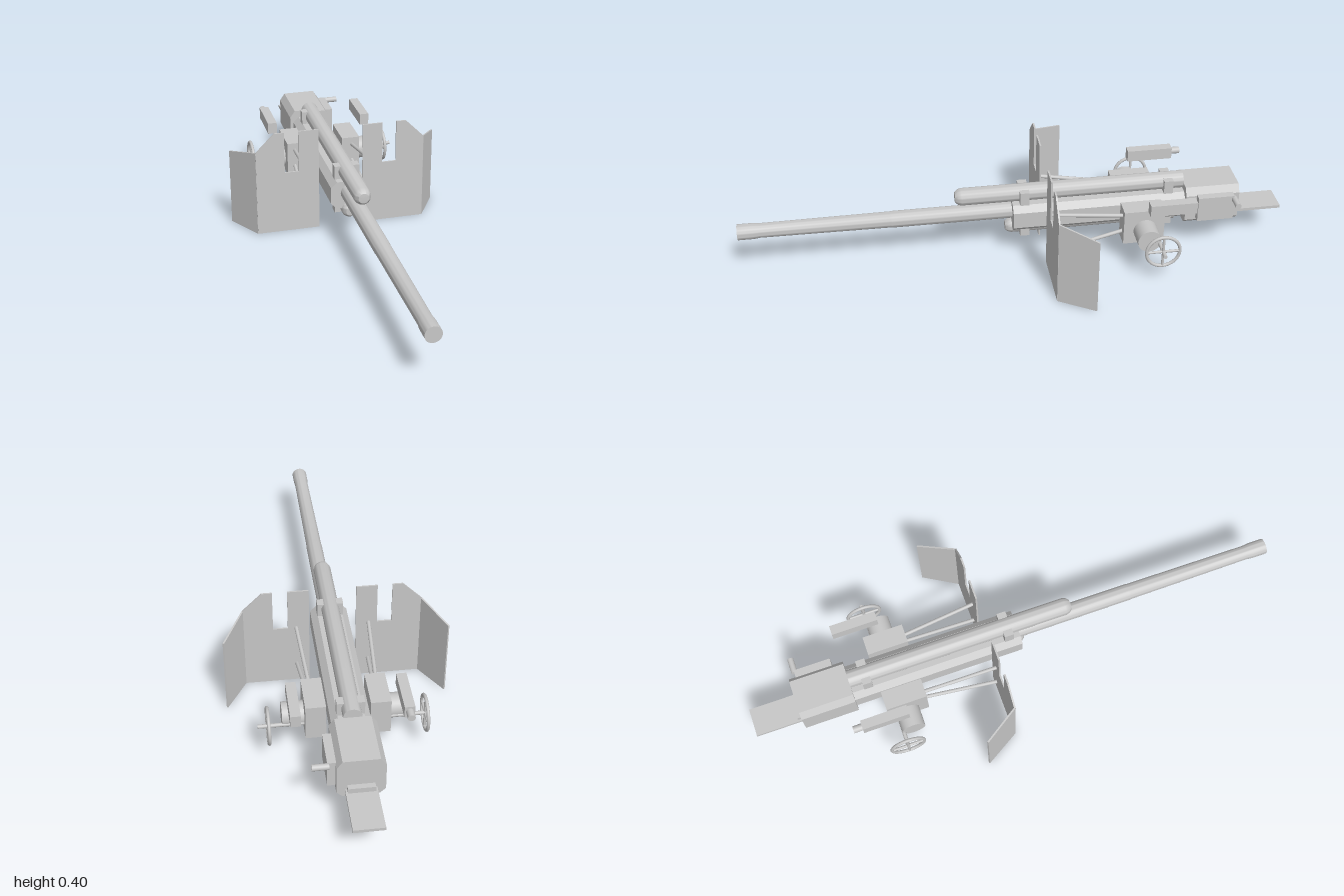
import * as THREE from 'three';
import { toCreasedNormals } from 'three/addons/utils/BufferGeometryUtils.js';

const steel = new THREE.MeshStandardMaterial({ color: 0xc7c7c7 });
steel.name = 'light grey steel';

export function createModel() {
  const model = new THREE.Group();
  model.name = 'fieldGun';

  const add = (name, geo, parent = model) => {
    const mesh = new THREE.Mesh(geo, steel);
    mesh.name = name;
    parent.add(mesh);
    return mesh;
  };
  // Box given by its minimum and maximum on each axis
  const box = (name, [x0, x1], [y0, y1], [z0, z1], parent) => {
    const mesh = add(name, new THREE.BoxGeometry(x1 - x0, y1 - y0, z1 - z0), parent);
    mesh.position.set((x0 + x1) / 2, (y0 + y1) / 2, (z0 + z1) / 2);
    return mesh;
  };
  // Round rod between two points
  const rod = (name, a, b, r, parent, sides = 24) => {
    const p = new THREE.Vector3(...a), q = new THREE.Vector3(...b);
    const mesh = add(name, new THREE.CylinderGeometry(r, r, p.distanceTo(q), sides), parent);
    mesh.position.copy(p).lerp(q, 0.5);
    mesh.quaternion.setFromUnitVectors(new THREE.Vector3(0, 1, 0), q.sub(p).normalize());
    return mesh;
  };
  // Turned part along z, from [radius, z] pairs running back to front
  const turned = (name, y, profile) => {
    const pts = profile.map(([r, z]) => new THREE.Vector2(r, z));
    const geo = toCreasedNormals(new THREE.LatheGeometry(pts, 32).rotateX(Math.PI / 2), 0.6);
    add(name, geo).position.y = y;
  };
  // Chamfered block along z
  const chamfered = (name, w, y0, y1, cx, cTop, cBottom, z0, z1) => {
    const shape = new THREE.Shape([
      [-w + cx, y0], [w - cx, y0], [w, y0 + cBottom], [w, y1 - cTop],
      [w - cx, y1], [-w + cx, y1], [-w, y1 - cTop], [-w, y0 + cBottom],
    ].map((p) => new THREE.Vector2(...p)));
    const geo = new THREE.ExtrudeGeometry(shape, { depth: z1 - z0, bevelEnabled: false });
    add(name, geo).position.z = z0;
  };

  // Barrel with a slight jacket step and a swollen muzzle
  turned('barrel', 0.19, [
    [0, -0.62], [0.032, -0.62], [0.0305, 0.45], [0.0295, 0.455], [0.0265, 0.92],
    [0.029, 0.945], [0.029, 1], [0, 1],
  ]);

  // Recoil cylinders above and below the barrel
  turned('upperRecoilCylinder', 0.263, [
    [0, -0.625], [0.032, -0.625], [0.032, 0.195], [0.028, 0.208], [0.019, 0.218], [0, 0.22],
  ]);
  turned('lowerRecoilCylinder', 0.122, [
    [0, -0.6], [0.028, -0.6], [0.028, 0.015], [0.024, 0.027], [0.016, 0.036], [0, 0.037],
  ]);

  // Cradle, clamps and breech
  chamfered('cradle', 0.067, 0.128, 0.235, 0.022, 0.022, 0.022, -0.63, 0.012);
  for (const z of [-0.565, -0.032]) {
    box('upperClamp', [-0.047, 0.047], [0.22, 0.285], [z - 0.017, z + 0.017]);
    box('lowerClamp', [-0.047, 0.047], [0.1, 0.14], [z - 0.017, z + 0.017]);
  }
  chamfered('breech', 0.08, 0.113, 0.262, 0.019, 0.028, 0.018, -0.825, -0.625);
  box('breechSideBox', [0.075, 0.106], [0.14, 0.238], [-0.8, -0.665]);
  rod('breechHandle', [0.1, 0.225, -0.8], [0.156, 0.225, -0.8], 0.011);

  // Loading tray
  box('loadingTray', [-0.052, 0.052], [0.13, 0.141], [-1, -0.82]);
  box('trayHinge', [-0.045, 0.045], [0.138, 0.16], [-0.844, -0.82]);

  for (const s of [1, -1]) {
    const side = new THREE.Group();
    side.name = s > 0 ? 'leftMount' : 'rightMount';
    model.add(side);
    const bx = (a, b) => [Math.min(s * a, s * b), Math.max(s * a, s * b)];

    // Gearbox with a drum
    box('gearbox', bx(0.075, 0.145), [0.096, 0.23], [-0.53, -0.38], side);
    rod('gearDrum', [s * 0.14, 0.15, -0.459], [s * 0.22, 0.15, -0.459], 0.043, side, 32);

    // Handwheel, with a longer shaft on the left
    const wx = s * 0.268, wy = 0.137, wz = -0.497;
    rod('wheelShaft', [s * 0.14, wy, wz], [s > 0 ? 0.303 : -0.274, wy, wz], 0.007, side, 16);
    const rim = add('wheelRim', new THREE.TorusGeometry(0.061, 0.006, 10, 40), side);
    rim.rotation.y = Math.PI / 2;
    rim.position.set(wx, wy, wz);
    rod('wheelSpoke', [wx, wy - 0.06, wz], [wx, wy + 0.06, wz], 0.005, side, 10);
    rod('wheelSpoke', [wx, wy, wz - 0.06], [wx, wy, wz + 0.06], 0.005, side, 10);

    // Sight
    box('sight', bx(0.169, 0.204), [0.246, 0.29], [-0.63, -0.46], side);
    if (s < 0) rod('eyepiece', [-0.187, 0.27, -0.62], [-0.187, 0.27, -0.662], 0.013, side);

    // Shield struts
    rod('upperStrut', [s * 0.115, 0.2, -0.385], [s * 0.13, 0.24, -0.11], 0.007, side, 12);
    rod('lowerStrut', [s * 0.115, 0.135, -0.385], [s * 0.13, 0.075, -0.11], 0.007, side, 12);

    // Shield plate with a sighting notch
    const plate = new THREE.Shape([
      [0.084, 0], [0.32, 0], [0.32, 0.33], [0.25, 0.4], [0.213, 0.4],
      [0.213, 0.24], [0.16, 0.24], [0.16, 0.4], [0.084, 0.4],
    ].map(([x, y]) => new THREE.Vector2(s * x, y)));
    const t = 0.006;
    add('shieldPlate', new THREE.ExtrudeGeometry(plate, { depth: t, bevelEnabled: false }), side)
      .position.z = -0.112;

    // Swept-back shield wing
    const dx = 0.076, dz = 0.127, len = Math.hypot(dx, dz);
    const wing = new THREE.Shape([[0, 0], [len, 0], [len, 0.294], [0, 0.33]]
      .map(([x, y]) => new THREE.Vector2(s * x, y)));
    const wingMesh = add('shieldWing',
      new THREE.ExtrudeGeometry(wing, { depth: t, bevelEnabled: false }), side);
    wingMesh.position.set(s * 0.316, 0, -0.11);
    wingMesh.rotation.y = s * Math.atan2(dz, dx);
  }
  return model;
}
